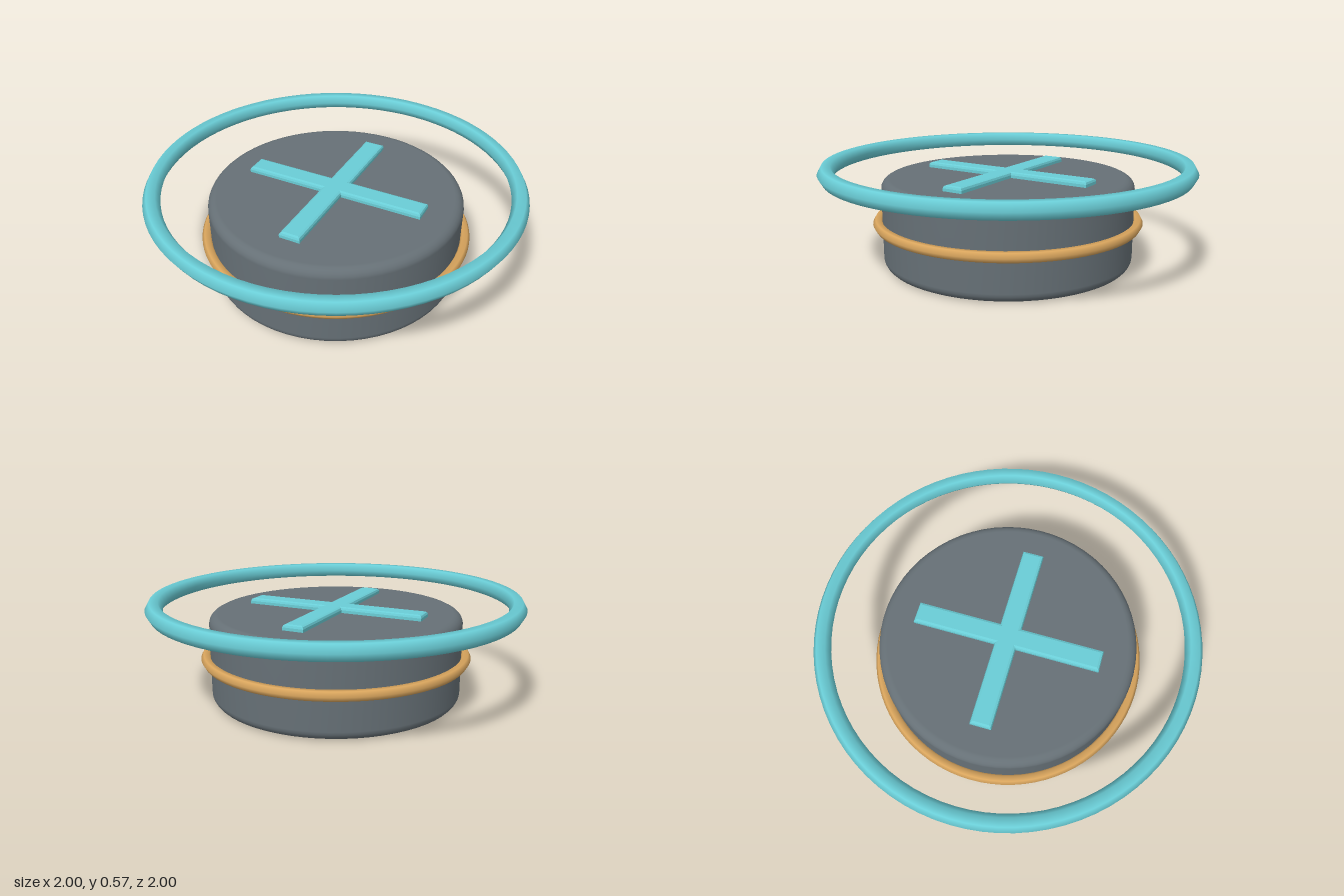
import * as THREE from 'three';

const material = (name, color) => {
  const m = new THREE.MeshStandardMaterial({ color });
  m.name = name;
  return m;
};

export function createModel() {
  const group = new THREE.Group();
  const slate = material('slate grey', 0x667076);
  const teal = material('teal', 0x6acdd6);
  const gold = material('warm gold', 0xd9a55d);

  const add = (name, geometry, mat, y = 0) => {
    const mesh = new THREE.Mesh(geometry, mat);
    mesh.name = name;
    mesh.position.y = y;
    group.add(mesh);
    return mesh;
  };

  // Round body with softened rims
  const radius = 0.68, height = 0.475, rim = 0.05;
  const profile = [new THREE.Vector2(0, 0)];
  for (const [cy, start] of [[rim, -Math.PI / 2], [height - rim, 0]]) {
    for (let i = 0; i <= 5; i++) {
      const a = start + (i / 5) * Math.PI / 2;
      profile.push(new THREE.Vector2(radius - rim + rim * Math.cos(a), cy + rim * Math.sin(a)));
    }
  }
  profile.push(new THREE.Vector2(0, height));
  add('body', new THREE.LatheGeometry(profile, 64), slate);

  // Rings with a six-sided section
  const ring = (name, r, tube, mat, y) =>
    add(name, new THREE.TorusGeometry(r, tube, 6, 80).rotateX(-Math.PI / 2), mat, y);
  ring('waistBand', 0.702, 0.028, gold, 0.24);
  ring('floatingRing', 0.955, 0.045, teal, 0.527);

  // Raised cross with bevelled edges
  const bevel = 0.015, l = 0.5 - bevel, w = 0.057 - bevel;
  const cross = new THREE.Shape([
    [w, w], [w, l], [-w, l], [-w, w], [-l, w], [-l, -w],
    [-w, -w], [-w, -l], [w, -l], [w, -w], [l, -w], [l, w],
  ].map(([x, y]) => new THREE.Vector2(x, y)));
  const crossGeometry = new THREE.ExtrudeGeometry(cross, {
    depth: 0.02, bevelThickness: bevel, bevelSize: bevel, bevelSegments: 2,
  }).rotateX(-Math.PI / 2);
  add('topCross', crossGeometry, teal, 0.47);

  return group;
}
